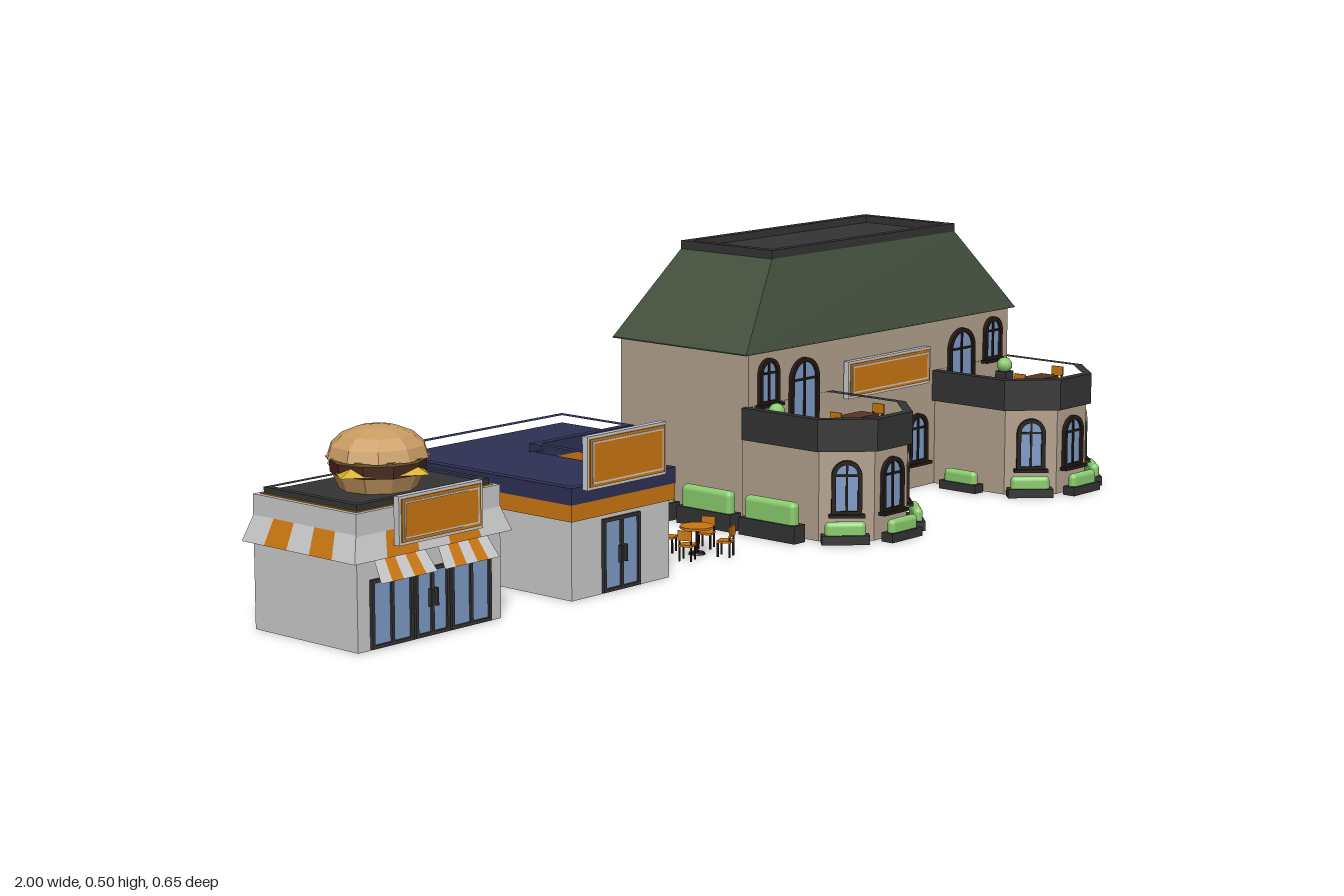
import * as THREE from 'three';
import { RoundedBoxGeometry } from 'three/addons/geometries/RoundedBoxGeometry.js';

const mat = (color, extra = {}) => new THREE.MeshStandardMaterial({ color, flatShading: true, ...extra });
const M = {
  grey: mat(0xcccccc), tan: mat(0xb3a28e), dark: mat(0x343434), roof: mat(0x44503e),
  navy: mat(0x2e3055), orange: mat(0xcc7711), hedge: mat(0x8acc6e, { flatShading: false }),
  glass: mat(0x7f9cc8), frame: mat(0x241a14), wood: mat(0x553528), bun: mat(0xc99b62),
  cheese: mat(0xd8b02c), patty: mat(0x4a2a1e), lettuce: mat(0x6f9a3c),
};

function mesh(parent, name, geometry, material, x = 0, y = 0, z = 0) {
  const m = new THREE.Mesh(geometry, material);
  m.name = name;
  m.position.set(x, y, z);
  parent.add(m);
  return m;
}
function group(parent, name, x = 0, y = 0, z = 0, turn = 0) {
  const g = new THREE.Group();
  g.name = name;
  g.position.set(x, y, z);
  g.rotation.y = turn;
  parent.add(g);
  return g;
}
// Box given by its extents
const block = (p, name, m, x0, x1, y0, y1, z0, z1) =>
  mesh(p, name, new THREE.BoxGeometry(x1 - x0, y1 - y0, z1 - z0), m, (x0 + x1) / 2, (y0 + y1) / 2, (z0 + z1) / 2);

// Flat slab from an [x, z] outline, optionally with a hole
function slab(p, name, m, outline, y0, y1, hole) {
  const pts = o => o.map(([x, z]) => new THREE.Vector2(x, -z));
  const s = new THREE.Shape(pts(outline));
  if (hole) s.holes.push(new THREE.Path(pts(hole)));
  const g = new THREE.ExtrudeGeometry(s, { depth: y1 - y0, bevelEnabled: false });
  return mesh(p, name, g.rotateX(-Math.PI / 2), m, 0, y0, 0);
}
const rect = (x0, x1, z0, z1) => [[x0, z0], [x1, z0], [x1, z1], [x0, z1]];

// Quad with corners in counter-clockwise order
function quad(p, name, m, a, b, c, d) {
  const g = new THREE.BufferGeometry();
  g.setAttribute('position', new THREE.Float32BufferAttribute([a, b, c, a, c, d].flat(), 3));
  g.computeVertexNormals();
  const both = m.clone();
  both.side = THREE.DoubleSide;
  return mesh(p, name, g, both);
}
// Sloping strip of alternating stripes, from a lower edge to an upper edge
function stripes(p, name, n, lowA, lowB, topA, topB) {
  const mix = (a, b, t) => a.map((v, i) => v + (b[i] - v) * t);
  for (let i = 0; i < n; i++) {
    const t = i / n, u = (i + 1) / n;
    quad(p, name, i % 2 ? M.orange : M.grey, mix(lowA, lowB, t), mix(lowA, lowB, u), mix(topA, topB, u), mix(topA, topB, t));
  }
}

function archShape(w, h, inset = 0) {
  const r = w / 2 - inset, s = new THREE.Shape();
  s.moveTo(-r, inset).lineTo(r, inset).lineTo(r, h - w / 2);
  s.absarc(0, h - w / 2, r, 0, Math.PI, false);
  return s.lineTo(-r, inset);
}
// Arched window or door, facing +z, standing on its origin
function archWindow(p, name, x, y, z, w, h, turn = 0, sill = true) {
  const g = group(p, name, x, y, z, turn);
  const outer = archShape(w, h);
  outer.holes.push(archShape(w, h, 0.008));
  mesh(g, 'archFrame', new THREE.ExtrudeGeometry(outer, { depth: 0.012, bevelEnabled: false, curveSegments: 8 }), M.frame, 0, 0, -0.005);
  mesh(g, 'glass', new THREE.ShapeGeometry(archShape(w, h, 0.007), 8), M.glass, 0, 0, 0.002);
  block(g, 'mullion', M.frame, -0.002, 0.002, 0.006, h - 0.006, 0, 0.005);
  block(g, 'transom', M.frame, -w / 2 + 0.006, w / 2 - 0.006, h - w / 2 - 0.002, h - w / 2 + 0.002, 0, 0.005);
  if (sill) block(g, 'sill', M.frame, -w / 2 - 0.005, w / 2 + 0.005, -0.003, 0.003, -0.005, 0.014);
}
// Rectangular glazing with n panes, facing +z
function glazing(p, name, x, z, w, h, n, turn = 0, handle = false) {
  const g = group(p, name, x, 0, z, turn);
  block(g, 'glass', M.glass, -w / 2, w / 2, 0.004, h, -0.003, 0.002);
  for (let i = 0; i <= n; i++) {
    const px = -w / 2 + w * i / n;
    block(g, 'post', M.dark, px - 0.003, px + 0.003, 0.002, h, -0.003, 0.006);
  }
  for (const y of [0.005, h]) block(g, 'rail', M.dark, -w / 2 - 0.003, w / 2 + 0.003, y - 0.003, y + 0.003, -0.003, 0.006);
  if (handle) for (const s of [-1, 1]) block(g, 'handle', M.dark, s * 0.007 - 0.0015, s * 0.007 + 0.0015, 0.05, 0.08, 0.004, 0.011);
}
function signBoard(p, x, y, z, w, h) {
  const g = group(p, 'signBoard', x, y, z);
  block(g, 'signBack', M.grey, -w / 2, w / 2, 0, h, -0.007, 0.005);
  block(g, 'signFace', M.orange, -w / 2 + 0.005, w / 2 - 0.005, 0.005, h - 0.005, 0, 0.007);
  slab(g, 'signRim', M.grey, rect(-w / 2 + 0.01, w / 2 - 0.01, -h + 0.01, -0.01), 0, 0.002,
    rect(-w / 2 + 0.013, w / 2 - 0.013, -h + 0.013, -0.013)).rotation.x = Math.PI / 2;
  g.children[2].position.set(0, 0, 0.0065);
}
function hedge(p, x, z, turn, low = false) {
  const [len, deep, base, top] = low ? [0.088, 0.026, 0.017, 0.041] : [0.133, 0.031, 0.033, 0.074];
  const g = group(p, 'hedge', x, 0, z, turn);
  block(g, 'hedgeTrough', M.dark, -len / 2, len / 2, 0, base, -deep / 2, deep / 2);
  const h = top - base + 0.01;
  mesh(g, 'hedgeLeaves', new RoundedBoxGeometry(len - 0.012, h, deep - 0.008, 3, 0.01), M.hedge, 0, top - h / 2, 0);
}
// Chair facing its local -z
function chair(p, x, y, z, turn) {
  const g = group(p, 'chair', x, y, z, turn);
  block(g, 'chairSeat', M.orange, -0.013, 0.013, 0.026, 0.030, -0.013, 0.013);
  block(g, 'chairBack', M.orange, -0.013, 0.013, 0.038, 0.056, 0.011, 0.014);
  for (const sx of [-1, 1]) for (const sz of [-1, 1])
    block(g, 'chairLeg', M.frame, sx * 0.011 - 0.0015, sx * 0.011 + 0.0015, 0, sz > 0 ? 0.04 : 0.026, sz * 0.011 - 0.0015, sz * 0.011 + 0.0015);
}
function roundTable(p, x, z, turn) {
  const g = group(p, 'tableSet', x, 0, z, turn);
  mesh(g, 'tableTop', new THREE.CylinderGeometry(0.031, 0.031, 0.004, 16), M.orange, 0, 0.05, 0);
  mesh(g, 'tablePole', new THREE.CylinderGeometry(0.003, 0.003, 0.05, 8), M.frame, 0, 0.025, 0);
  mesh(g, 'tableFoot', new THREE.CylinderGeometry(0.014, 0.016, 0.004, 12), M.frame, 0, 0.002, 0);
  for (let i = 0; i < 4; i++) {
    const a = i * Math.PI / 2;
    chair(g, Math.sin(a) * 0.054, 0, Math.cos(a) * 0.054, a);
  }
}

function burgerStand(root) {
  const g = group(root, 'burgerStand', -0.825, 0, 0.075);
  block(g, 'walls', M.grey, -0.16, 0.16, 0, 0.225, -0.122, 0.122);
  // Striped awning on four sides
  const low = [[-0.175, 0.134], [0.175, 0.134], [0.175, -0.134], [-0.175, -0.134]];
  for (let i = 0; i < 4; i++) {
    const [a, b] = [low[i], low[(i + 1) % 4]];
    const bottom = ([x, z]) => [x, 0.148, z], top = ([x, z]) => [x * 0.845, 0.225, z * 0.83];
    stripes(g, 'awningStripe', 5, bottom(a), bottom(b), top(a), top(b));
  }
  slab(g, 'awningSoffit', M.grey, rect(-0.174, 0.174, -0.133, 0.133), 0.147, 0.149);
  slab(g, 'roofTrim', M.orange, rect(-0.152, 0.152, -0.114, 0.114), 0.219, 0.226);
  slab(g, 'roofSlab', M.dark, rect(-0.147, 0.147, -0.11, 0.11), 0.225, 0.229);
  slab(g, 'roofEdge', M.dark, rect(-0.147, 0.147, -0.11, 0.11), 0.228, 0.236, rect(-0.135, 0.135, -0.098, 0.098));
  glazing(g, 'leftWindow', 0.088, 0.122, 0.085, 0.112, 2);
  glazing(g, 'rightWindow', -0.088, 0.122, 0.085, 0.112, 2);
  glazing(g, 'door', 0, 0.122, 0.07, 0.112, 2, 0, true);
  for (const s of [-1, 1])
    stripes(g, 'canopyStripe', 5, [s * 0.07 - 0.062, 0.112, 0.148], [s * 0.07 + 0.062, 0.112, 0.148],
      [s * 0.07 - 0.055, 0.15, 0.123], [s * 0.07 + 0.055, 0.15, 0.123]);
  signBoard(g, 0.005, 0.165, 0.139, 0.186, 0.08);
  // Rooftop burger
  const b = group(g, 'burger', 0, 0.229, 0.003, 0.2);
  mesh(b, 'bottomBun', new THREE.CylinderGeometry(0.076, 0.064, 0.028, 10), M.bun, 0, 0.014, 0);
  mesh(b, 'lettuce', new THREE.CylinderGeometry(0.084, 0.08, 0.005, 9), M.lettuce, 0, 0.052, 0);
  mesh(b, 'patty', new THREE.CylinderGeometry(0.08, 0.078, 0.023, 10), M.patty, 0, 0.038, 0);
  mesh(b, 'cheese', new THREE.CylinderGeometry(0.05, 0.103, 0.024, 4), M.cheese, 0, 0.042, 0);
  mesh(b, 'topBun', new THREE.SphereGeometry(0.086, 10, 4, 0, Math.PI * 2, 0, Math.PI / 2), M.bun, 0, 0.052, 0).scale.y = 0.61;
  mesh(b, 'topBunBase', new THREE.CylinderGeometry(0.086, 0.08, 0.006, 10), M.bun, 0, 0.05, 0);
}

function cafe(root) {
  const g = group(root, 'cafe');
  // L-shaped outline grown by e
  const L = e => [[-0.503 - e, -0.287 - e], [-0.013 + e, -0.287 - e], [-0.013 + e, -0.118 + e],
    [-0.258 + e, -0.118 + e], [-0.258 + e, 0.204 + e], [-0.503 - e, 0.204 + e]];
  slab(g, 'walls', M.grey, L(0), 0, 0.14);
  slab(g, 'orangeBand', M.orange, L(0.007), 0.138, 0.168);
  slab(g, 'roofDeck', M.navy, L(0), 0.166, 0.18);
  slab(g, 'parapet', M.navy, L(0.008), 0.167, 0.196, L(-0.008));
  glazing(g, 'frontDoor', -0.383, 0.204, 0.086, 0.127, 2, 0, true);
  glazing(g, 'sideDoor', -0.258, 0.12, 0.086, 0.127, 2, Math.PI / 2, true);
  glazing(g, 'sideWindow', -0.258, -0.025, 0.086, 0.127, 2, Math.PI / 2);
  signBoard(g, -0.387, 0.19, 0.22, 0.196, 0.092);
  roundTable(g, -0.088, -0.058, Math.PI / 4);
  roundTable(g, -0.088, 0.118, 0.4);
}

function restaurant(root) {
  const g = group(root, 'restaurant', 0.543, 0, 0);
  block(g, 'mainWalls', M.tan, -0.401, 0.401, 0, 0.328, -0.279, 0.041);
  // Hipped roof: a four-sided frustum fitted to eave and cap
  const eave = rect(-0.416, 0.416, -0.287, 0.048).reverse(), cap = rect(-0.281, 0.281, -0.233, -0.005).reverse();
  for (let i = 0; i < 4; i++) {
    const j = (i + 1) % 4, at = ([x, z], y) => [x, y, z];
    quad(g, 'roofSlope', M.roof, at(eave[i], 0.326), at(eave[j], 0.326), at(cap[j], 0.487), at(cap[i], 0.487));
  }
  slab(g, 'eaveSoffit', M.roof, eave, 0.325, 0.327);
  slab(g, 'roofTop', M.dark, cap, 0.482, 0.489);
  slab(g, 'roofRim', M.dark, cap, 0.486, 0.503, rect(-0.264, 0.264, -0.216, -0.022));
  // Ground-floor entrance and sign
  archWindow(g, 'entranceDoor', 0, 0, 0.042, 0.082, 0.142, 0, false);
  signBoard(g, 0, 0.208, 0.052, 0.254, 0.072);

  // Bay outline with chamfered front corners, grown by e
  const bay = (e, back) => [[-0.12 - e, back], [0.12 + e, back], [0.12 + e, 0.213 + e * 0.4], [0.048 + e * 0.4, 0.285 + e],
    [-0.048 - e * 0.4, 0.285 + e], [-0.12 - e, 0.213 + e * 0.4]];
  for (const s of [-1, 1]) {
    archWindow(g, 'hallWindow', s * 0.106, 0.048, 0.042, 0.058, 0.1);
    archWindow(g, 'upperWindow', s * 0.347, 0.225, 0.042, 0.056, 0.088);
    archWindow(g, 'balconyDoor', s * 0.244, 0.172, 0.042, 0.082, 0.13, 0, false);

    const w = group(g, s < 0 ? 'rightBay' : 'leftBay', s * 0.284, 0, 0);
    slab(w, 'bayWalls', M.tan, bay(0, 0.03), 0, 0.17);
    slab(w, 'balconyFloor', M.tan, bay(0.007, 0.035), 0.167, 0.174);
    slab(w, 'balconyParapet', M.dark, bay(0.009, 0.035), 0.167, 0.227, bay(-0.009, 0.042));
    archWindow(w, 'bayFrontWindow', 0, 0.048, 0.286, 0.062, 0.102);
    for (const t of [-1, 1]) {
      archWindow(w, 'bayCornerWindow', t * 0.0845, 0.048, 0.2495, 0.056, 0.102, t * Math.PI / 4);
      hedge(w, t * 0.104, 0.263, t * Math.PI / 4, true);
      chair(w, t * 0.05, 0.174, 0.205, t * Math.PI / 2);
    }
    hedge(w, 0, 0.312, 0, true);
    hedge(w, -s * 0.142, 0.125, Math.PI / 2, true);
    // Balcony table and potted shrub
    block(w, 'balconyTable', M.wood, -0.037, 0.037, 0.212, 0.217, 0.184, 0.226);
    for (const x of [-0.028, 0.028]) block(w, 'tableLeg', M.frame, x - 0.003, x + 0.003, 0.174, 0.212, 0.19, 0.22);
    block(w, 'shrubPot', M.dark, s * 0.07 - 0.013, s * 0.07 + 0.013, 0.174, 0.205, 0.057, 0.083);
    mesh(w, 'shrub', new THREE.IcosahedronGeometry(0.016, 1), M.hedge, s * 0.07, 0.217, 0.07);

    for (const z of [0.132, -0.022, -0.174]) hedge(g, s * 0.44, z, Math.PI / 2);
  }
  for (let i = -2; i <= 2; i++) hedge(g, i * 0.175, -0.309, 0);
}

export function createModel() {
  const root = new THREE.Group();
  root.name = 'streetOfEateries';
  burgerStand(root);
  cafe(root);
  restaurant(root);
  return root;
}
